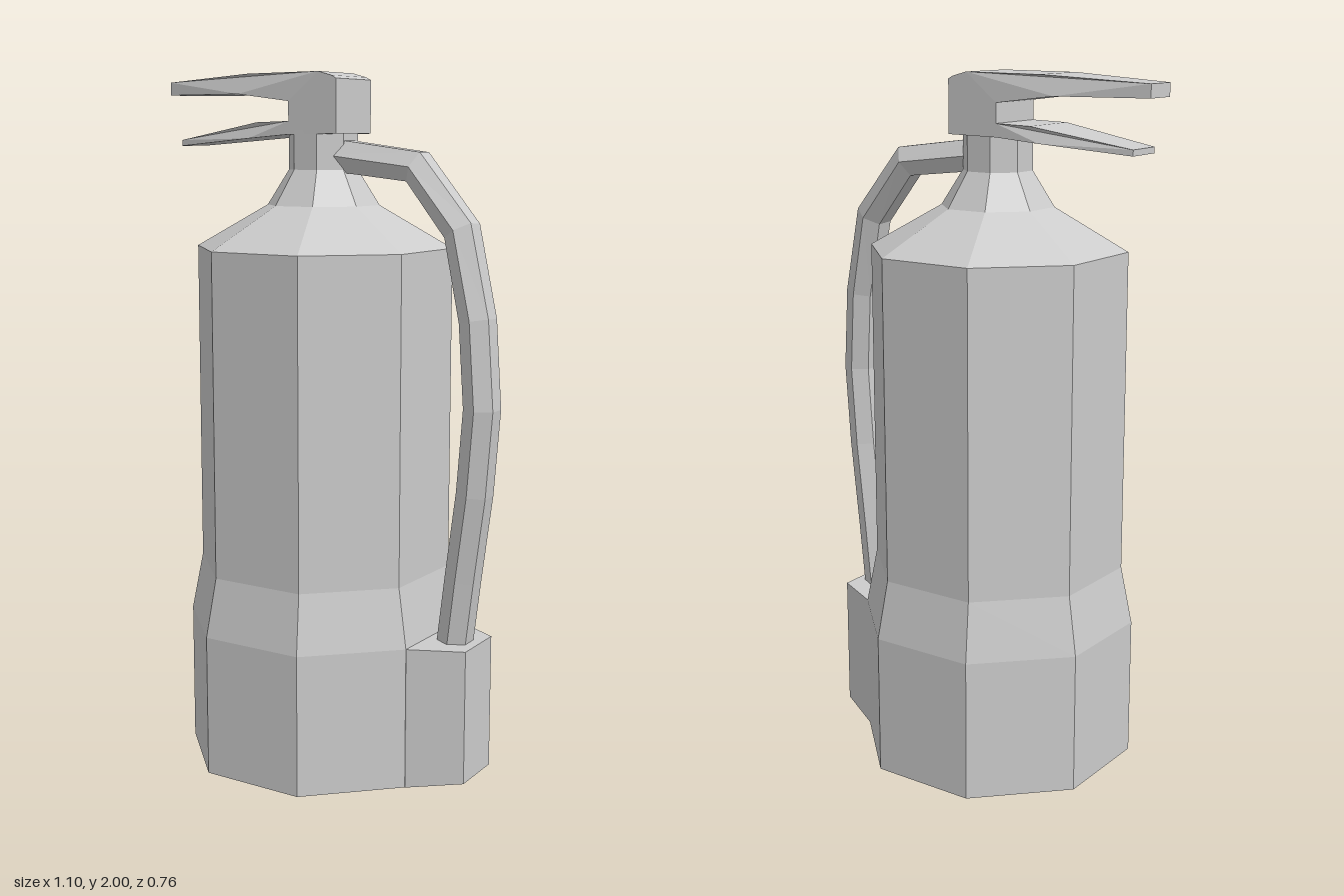
import * as THREE from 'three';

const material = new THREE.MeshStandardMaterial({ color: 0xcccccc, flatShading: true });

// Facets a geometry and wraps it in a named mesh
function part(name, geometry) {
  const g = geometry.index ? geometry.toNonIndexed() : geometry;
  g.computeVertexNormals();
  const mesh = new THREE.Mesh(g, material);
  mesh.name = name;
  return mesh;
}

const toShape = (pts) => new THREE.Shape(pts.map(([x, y]) => new THREE.Vector2(x, y)));

// Moves every vertex by a rule
function reshape(geometry, rule) {
  const pos = geometry.attributes.position;
  const v = new THREE.Vector3();
  for (let i = 0; i < pos.count; i++) {
    rule(v.fromBufferAttribute(pos, i));
    pos.setXYZ(i, v.x, v.y, v.z);
  }
  return geometry;
}

// Six-sided tube with one ring at each path point
function facetedTube(path, radius, sides = 6) {
  const pts = path.map((p) => new THREE.Vector3(...p));
  const last = pts.length - 1;
  const position = [], index = [];
  pts.forEach((p, i) => {
    const before = p.clone().sub(pts[Math.max(i - 1, 0)]).normalize();
    const after = pts[Math.min(i + 1, last)].clone().sub(p).normalize();
    const t = before.add(after).normalize();
    const n = new THREE.Vector3(0, 0, 1).cross(t).normalize();
    const b = t.clone().cross(n);
    for (let j = 0; j < sides; j++) {
      const a = ((j + 0.5) / sides) * Math.PI * 2;
      const v = p.clone()
        .addScaledVector(n, radius * Math.cos(a))
        .addScaledVector(b, radius * Math.sin(a));
      position.push(v.x, v.y, v.z);
      if (i < last) {
        const k = i * sides, m = (j + 1) % sides;
        index.push(k + j, k + m, k + sides + j, k + m, k + sides + m, k + sides + j);
      }
    }
  });
  const g = new THREE.BufferGeometry();
  g.setAttribute('position', new THREE.Float32BufferAttribute(position, 3));
  g.setIndex(index);
  return g;
}

export function createModel() {
  const model = new THREE.Group();
  model.name = 'fireExtinguisher';

  // Eight-sided tank with wide foot, sloped shoulder and neck
  const profile = [[0, 0], [0.407, 0], [0.407, 0.41], [0.373, 0.58], [0.373, 1.51],
    [0.163, 1.63], [0.1, 1.73], [0.1, 1.84], [0, 1.84]];
  const tank = part('tank', new THREE.LatheGeometry(
    profile.map(([r, y]) => new THREE.Vector2(r, y)), 8, THREE.MathUtils.degToRad(21)));
  tank.position.x = -0.04;
  model.add(tank);

  // Hose holder on the foot, tapering outward
  const holder = new THREE.ExtrudeGeometry(
    toShape([[0.32, -0.165], [0.335, -0.165], [0.485, -0.1], [0.485, 0.065], [0.34, 0.145], [0.32, 0.145]]),
    { depth: 0.41, bevelEnabled: false }).rotateX(-Math.PI / 2);
  reshape(holder, (v) => { if (v.x > 0.45 && v.y < 0.01) v.y = 0.02; });
  model.add(part('hoseHolder', holder));

  // Hose from the neck down into the holder
  model.add(part('hose', facetedTube([
    [0, 1.772, 0.01], [0.265, 1.74, 0], [0.415, 1.57, 0.02], [0.478, 1.33, 0.043],
    [0.5, 1.09, 0.053], [0.478, 0.85, 0.045], [0.438, 0.6, 0.028], [0.41, 0.41, 0.016],
    [0.405, 0.37, 0.014],
  ], 0.052)));

  // Valve head with squeeze lever above and carrying grip below
  const head = new THREE.ExtrudeGeometry(toShape([
    [0.06, 1.83], [0.06, 1.98], [0.045, 1.988], [0, 2], [-0.24, 1.998], [-0.555, 1.98], [-0.555, 1.943],
    [-0.28, 1.942], [-0.1, 1.92], [-0.1, 1.865], [-0.21, 1.862], [-0.51, 1.812],
    [-0.51, 1.795], [-0.24, 1.817], [-0.1, 1.828],
  ]), { depth: 1, bevelEnabled: false });
  reshape(head, (v) => {
    const tip = THREE.MathUtils.clamp((-0.24 - v.x) / 0.315, 0, 1);
    const halfWidth = 0.096 - 0.043 * tip;
    const centre = 0.035 * (v.x - 0.06);
    v.z = centre + (v.z * 2 - 1) * halfWidth;
  });
  model.add(part('valveHeadAndLevers', head));

  return model;
}
